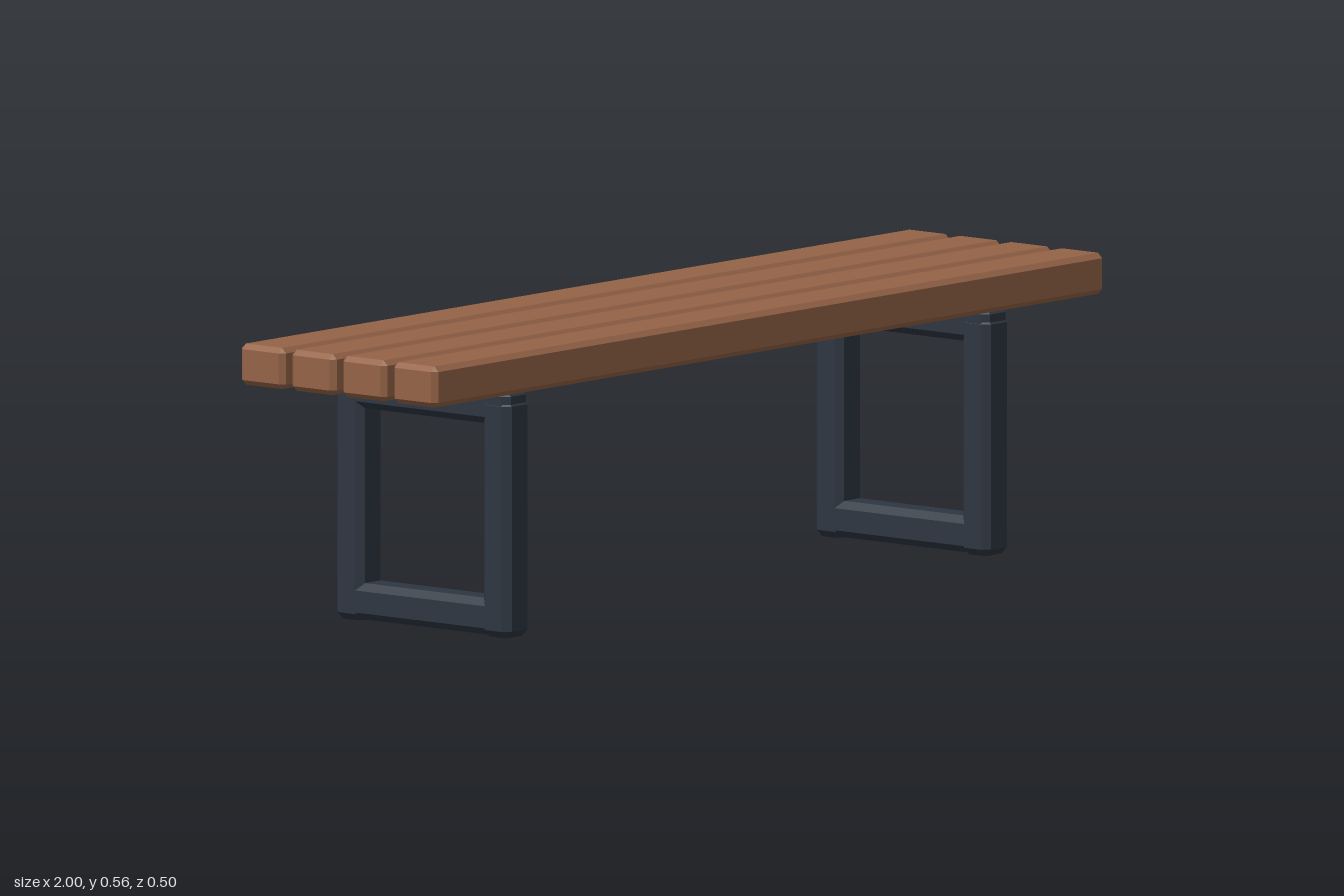
import * as THREE from 'three';
import { ConvexGeometry } from 'three/addons/geometries/ConvexGeometry.js';

// Box with flat chamfers of size b on every edge
function chamferBox(w, h, d, b) {
  const half = [w / 2, h / 2, d / 2];
  const points = [];
  for (const sx of [-1, 1]) for (const sy of [-1, 1]) for (const sz of [-1, 1]) {
    const sign = [sx, sy, sz];
    for (let face = 0; face < 3; face++) {
      points.push(new THREE.Vector3(...half.map((v, i) => sign[i] * (i === face ? v : v - b))));
    }
  }
  return new ConvexGeometry(points);
}

export function createModel() {
  const wood = new THREE.MeshStandardMaterial({ color: 0x946346 });
  wood.name = 'brown wood';
  const metal = new THREE.MeshStandardMaterial({ color: 0x2d3641 });
  metal.name = 'dark slate metal';

  const bench = new THREE.Group();
  bench.name = 'bench';

  function add(parent, name, geometry, material, x, y, z) {
    const mesh = new THREE.Mesh(geometry, material);
    mesh.name = name;
    mesh.position.set(x, y, z);
    parent.add(mesh);
  }

  // Four seat slats
  const slat = chamferBox(2, 0.08, 0.111, 0.01);
  for (let i = 0; i < 4; i++) add(bench, 'seatSlat', slat, wood, 0, 0.52, (i - 1.5) * 0.128);

  // Two closed rectangular leg frames
  const post = chamferBox(0.075, 0.466, 0.07, 0.014);
  const topRail = chamferBox(0.074, 0.071, 0.434, 0.014);
  const bottomRail = chamferBox(0.074, 0.071, 0.41, 0.014);
  for (const side of [-1, 1]) {
    const frame = new THREE.Group();
    frame.name = side > 0 ? 'leftLegFrame' : 'rightLegFrame';
    frame.position.x = side * 0.715;
    for (const z of [-0.185, 0.185]) add(frame, z > 0 ? 'frontPost' : 'backPost', post, metal, 0, 0.233, z);
    add(frame, 'topRail', topRail, metal, 0, 0.4495, 0);
    add(frame, 'bottomRail', bottomRail, metal, 0, 0.0385, 0);
    bench.add(frame);
  }
  return bench;
}
